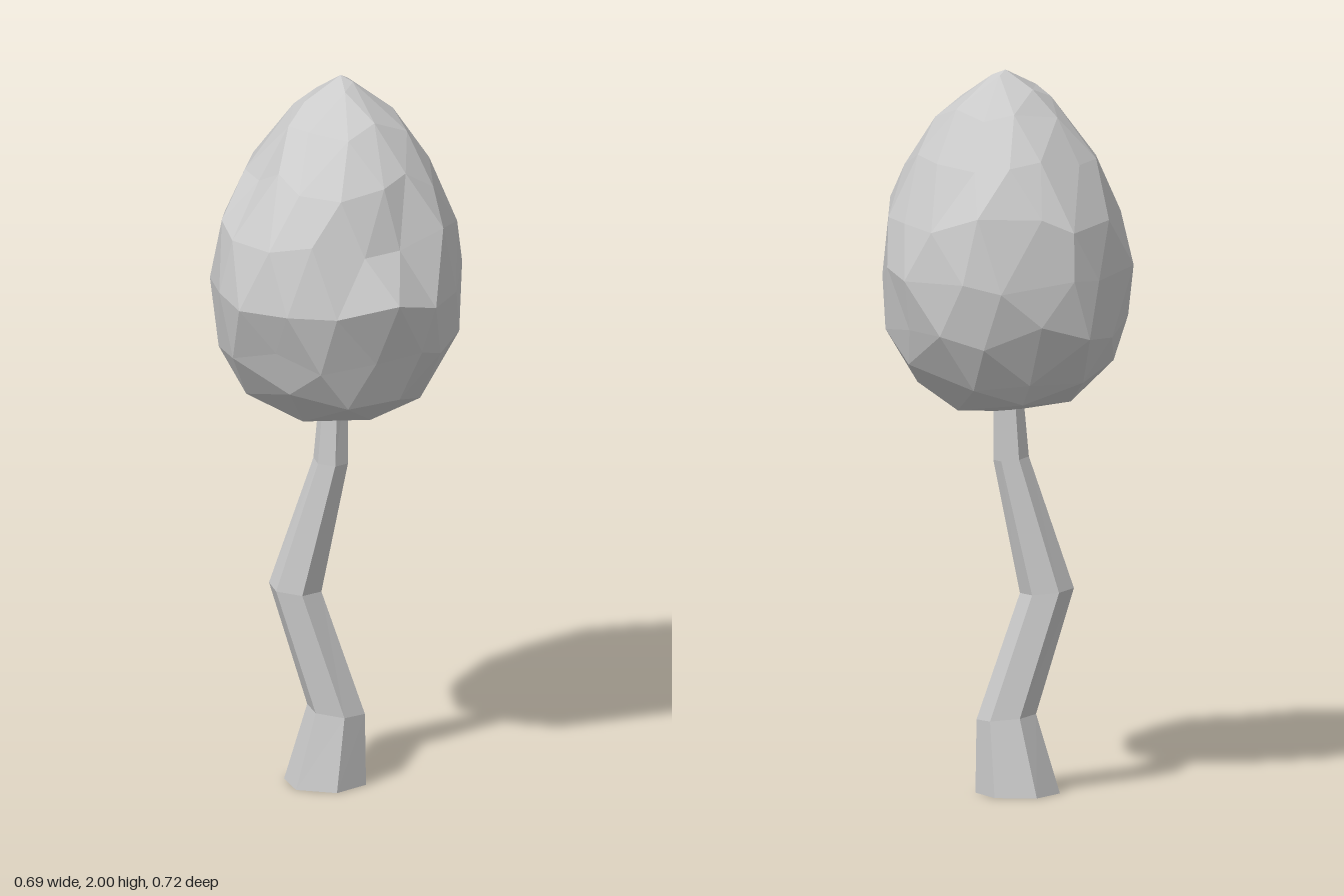
import * as THREE from 'three';
import { mergeVertices } from 'three/addons/utils/BufferGeometryUtils.js';

// Repeatable random numbers from -0.5 to 0.5
function seeded(seed) {
  return () => {
    seed = (seed * 16807) % 2147483647;
    return seed / 2147483647 - 0.5;
  };
}

// Point on an oval given by its height and extents in x and z
function oval(angle, [y, x0, x1, z0, z1], scale = 1) {
  return new THREE.Vector3(
    (x0 + x1) / 2 + Math.cos(angle) * scale * (x1 - x0) / 2,
    y,
    (z0 + z1) / 2 - Math.sin(angle) * scale * (z1 - z0) / 2);
}

// Crooked six-sided trunk, skinned over sections of y, then x and z extents
function trunkGeometry() {
  const sections = [
    [0, -0.145, 0.085, -0.113, 0.102],
    [0.21, -0.08, 0.082, -0.08, 0.07],
    [0.555, -0.182, -0.035, -0.06, 0.09],
    [0.92, -0.06, 0.037, -0.046, 0.056],
    [1.2, -0.035, 0.035, -0.04, 0.04],
  ];
  const n = 6;
  const points = sections.flatMap((section, i) =>
    Array.from({ length: n }, (_, j) => {
      const p = oval((j / n) * Math.PI * 2, section);
      if (i > 0) p.y -= (p.x - (section[1] + section[2]) / 2) * 0.1;
      return p;
    }));
  const index = [];
  for (let j = 0; j < n; j++) {
    const k = (j + 1) % n;
    for (let i = 0; i < sections.length - 1; i++) {
      const a = i * n + j, b = i * n + k;
      index.push(a, b, b + n, a, b + n, a + n);
    }
    // Flat base
    index.push(points.length, k, j);
  }
  points.push(new THREE.Vector3(-0.03, 0, 0));
  const geometry = new THREE.BufferGeometry().setFromPoints(points);
  geometry.setIndex(index);
  geometry.computeVertexNormals();
  return geometry;
}

// Egg-shaped crown: a faceted ball fitted to sections of y, then x and z extents
function crownGeometry() {
  const random = seeded(71);
  const sections = [
    [1.05, 0, 0, 0, 0],
    [1.06, -0.14, 0.14, -0.15, 0.13],
    [1.12, -0.23, 0.23, -0.235, 0.24],
    [1.24, -0.31, 0.31, -0.32, 0.315],
    [1.34, -0.345, 0.345, -0.34, 0.355],
    [1.49, -0.345, 0.34, -0.355, 0.36],
    [1.61, -0.305, 0.32, -0.335, 0.325],
    [1.71, -0.265, 0.275, -0.295, 0.285],
    [1.83, -0.205, 0.215, -0.21, 0.19],
    [1.95, -0.09, 0.125, -0.14, 0.08],
    [2, 0, 0, -0.06, -0.06],
  ];
  // Hollows, and bumps with a negative depth: centre x, y, z, radius, depth
  const dents = [
    [0.14, 1.33, 0.33, 0.09, 0.07],
    [-0.12, 1.24, 0.29, 0.08, 0.06],
    [0.22, 1.62, 0.22, 0.09, 0.06],
    [-0.19, 1.72, 0.16, 0.09, 0.05],
    [0.08, 1.82, -0.2, 0.09, 0.02],
    [-0.15, 1.25, -0.28, 0.07, 0.04],
    [0.27, 1.42, 0.24, 0.08, -0.03],
  ].map(([x, y, z, r, depth]) => ({ centre: new THREE.Vector3(x, y, z), r, depth }));

  const ball = new THREE.IcosahedronGeometry(1, 2);
  ball.deleteAttribute('normal');
  ball.deleteAttribute('uv');
  // One corner of the ball points straight up
  ball.rotateZ(-Math.atan(2 / (1 + Math.sqrt(5))));
  const geometry = mergeVertices(ball);
  const position = geometry.attributes.position;
  const p = new THREE.Vector3();
  for (let v = 0; v < position.count; v++) {
    p.fromBufferAttribute(position, v);
    const pole = Math.abs(p.y) > 0.99;
    const y = THREE.MathUtils.clamp(1.525 + p.y * 0.475 + (pole ? 0 : random() * 0.05), 1.05, 2);
    const i = Math.max(1, sections.findIndex((s) => s[0] >= y));
    const [low, high] = [sections[i - 1], sections[i]];
    const t = (y - low[0]) / (high[0] - low[0]);
    const section = low.map((value, n) => THREE.MathUtils.lerp(value, high[n], t));
    const angle = Math.atan2(-p.z, p.x) + random() * 0.2;
    p.copy(oval(angle, section, 1.02 + random() * 0.08));
    const inward = new THREE.Vector3(-p.x, 0, -p.z).normalize();
    for (const { centre, r, depth } of dents) {
      const d = p.distanceTo(centre) / r;
      p.addScaledVector(inward, depth * Math.exp(-d * d));
    }
    position.setXYZ(v, p.x, p.y, p.z);
  }
  geometry.computeVertexNormals();
  return geometry;
}

export function createModel() {
  const group = new THREE.Group();
  group.name = 'tree';
  const material = new THREE.MeshStandardMaterial({ color: 0xcccccc, flatShading: true });
  const parts = { trunk: trunkGeometry(), crown: crownGeometry() };
  for (const [name, geometry] of Object.entries(parts)) {
    const mesh = new THREE.Mesh(geometry, material);
    mesh.name = name;
    group.add(mesh);
  }
  return group;
}
